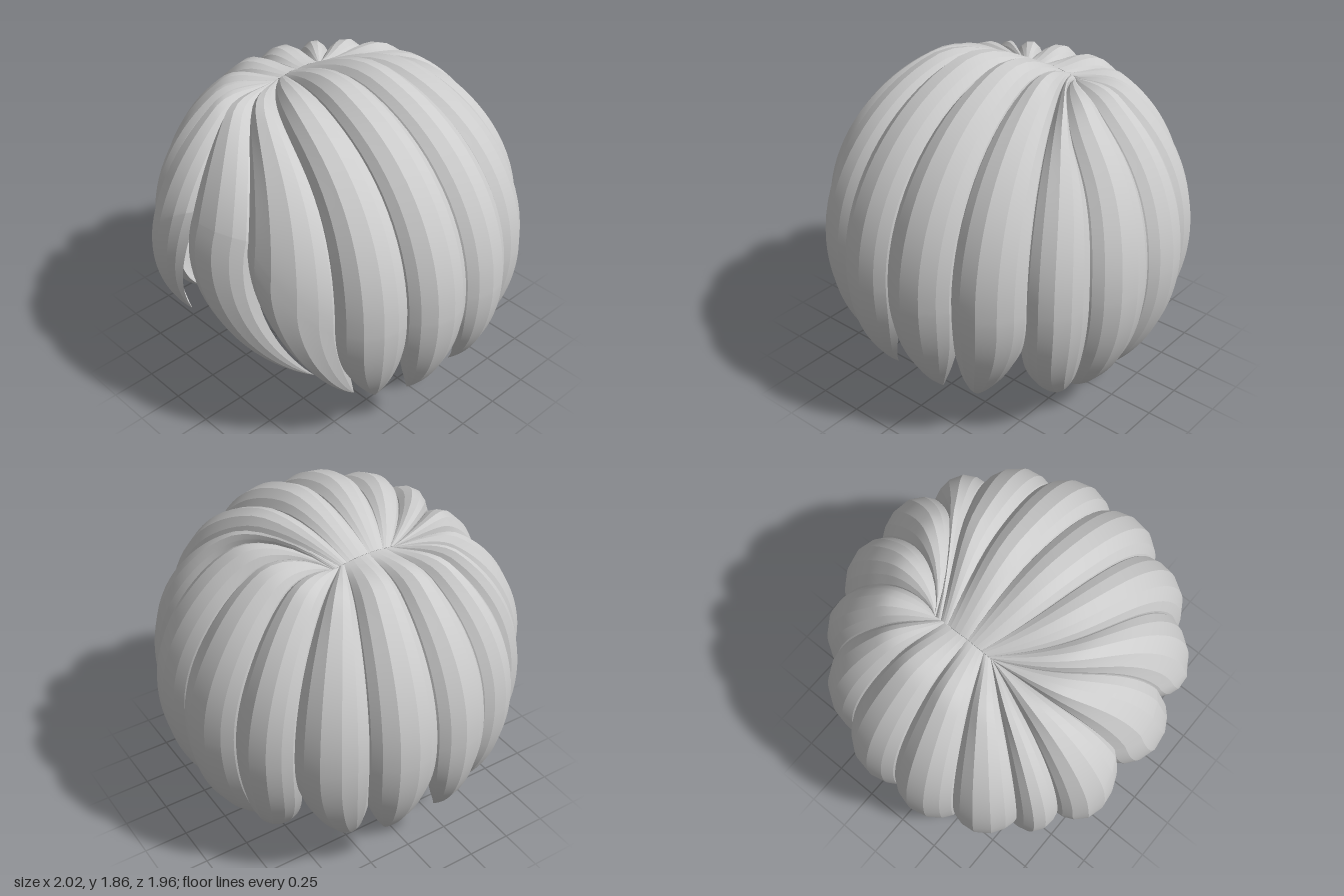
import * as THREE from 'three';

const CENTRE_Y = 0.87;
const ROOT_X = -0.35;
const ROWS = 44;
const RAD = Math.PI / 180;

// Seams between locks, round the head: [angle, root z, bend x, bend z, height where it is free to sweep]
const seams = [
  [-90, -0.24, 0.12, 0, 0], [-66, -0.24, 0.2, -0.03, 0], [-46, -0.2, 0.1, -0.05, 0], [-23, -0.15, 0, 0, 0],
  [0, 0, 0, 0, 0], [22.5, 0.1, 0, 0.05, 0], [45, 0.15, 0, 0.1, 0], [75, 0.17, -0.02, 0.06, 0.41],
  [102, 0.18, 0, 0.08, 0.38], [123, 0.18, 0, 0, 0], [137, 0.17, 0, 0, 0], [158, 0.12, 0, 0, 0],
  [180, 0, 0, 0, 0], [203, -0.17, 0, 0, 0], [226, -0.2, 0, 0, 0], [246, -0.24, 0.06, 0, 0],
  [270, -0.24, 0.12, 0, 0],
];

// Lock between seam i and i + 1: [name, tip x, y, z from the head centre, sweep power, lift]
const locks = [
  ['backLockLeft', 0.05, -0.85, -0.53, 7, 0],
  ['backOuterLockLeft', 0.13, -0.86, -0.48, 4, 0],
  ['napeLockLeft', 0.53, -0.78, -0.23, 2.2, 0],
  ['rearSideLockLeft', 0.73, -0.65, -0.16, 2.5, 0],
  ['sideLockLeft', 0.73, -0.65, 0.18, 2.5, 0],
  ['templeLockLeft', 0.7, -0.59, 0.4, 2.5, 0],
  ['frontSideLockLeft', 0.61, -0.59, 0.47, 1.5, 0],
  ['sweptFringe', 0.46, -0.47, 0.62, 2, 0],
  ['shortFringe', -0.35, -0.4, 0.8, 1.6, 0.035],
  ['frontSideLockRight', -0.61, -0.59, 0.47, 2.5, 0],
  ['templeLockRight', -0.7, -0.59, 0.4, 2.5, 0],
  ['sideLockRight', -0.73, -0.65, 0.18, 2.5, 0],
  ['rearSideLockRight', -0.73, -0.65, -0.16, 2.5, 0],
  ['napeLockRight', -0.53, -0.78, -0.23, 2.2, 0],
  ['backOuterLockRight', -0.13, -0.86, -0.48, 4, 0],
  ['backLockRight', -0.05, -0.85, -0.53, 7, 0],
];

// Faceted arch across a lock: position and height; the ends tuck under the neighbours
const outerArch = [[-0.08, -0.6], [0.02, 0.06], [0.17, 0.55], [0.38, 0.95], [0.64, 1], [0.85, 0.58], [0.98, 0.06], [1.08, -0.6]];
const innerArch = [[-0.08, -0.6], [0.05, -0.45], [0.25, -0.05], [0.5, 0.15], [0.75, -0.05], [0.95, -0.45], [1.08, -0.6]];

// Direction along a seam: s 0..0.5 from crown to seam end, 0.5..1 on to the lock's tip
function seamPoint([angle, rootZ, bendX, bendZ, freeY], tip, power, s) {
  const a = angle * RAD;
  if (s <= 0.5) {
    const t = Math.sin(s * Math.PI);
    const r = Math.sqrt(1 - freeY * freeY);
    const bend = 6.8 * t * (1 - t) ** 2;
    const x = THREE.MathUtils.lerp(ROOT_X, r * Math.cos(a), t) + bend * bendX;
    const z = THREE.MathUtils.lerp(rootZ, r * Math.sin(a), t) + bend * bendZ;
    return new THREE.Vector3(x, Math.sqrt(Math.max(0, 1 - x * x - z * z)), z).normalize();
  }
  const t = (s - 0.5) * 2;
  let tipAngle = Math.atan2(tip.z, tip.x);
  if (tipAngle < -Math.PI / 2) tipAngle += Math.PI * 2;
  const theta = THREE.MathUtils.lerp(a, tipAngle, t ** power);
  const y = THREE.MathUtils.lerp(freeY, tip.y / tip.length(), t);
  const r = Math.sqrt(1 - y * y);
  return new THREE.Vector3(r * Math.cos(theta), y, r * Math.sin(theta));
}

// Closed lock: creased outer strips and a smooth inner face
function lockGeometry(seamA, seamB, tip, power, lift) {
  const positions = [];
  const indices = [];
  const tipRadius = tip.length();

  const surfacePoint = (row, u, height) => {
    const s = THREE.MathUtils.clamp(row / ROWS, 0.0002, 0.999);
    const dir = seamPoint(seamA, tip, power, s).lerp(seamPoint(seamB, tip, power, s), u).normalize();
    const grow = THREE.MathUtils.smoothstep(s, -0.02, 0.14);
    const low = Math.max(0, s - 0.5) * 2;
    const raised = lift * THREE.MathUtils.smoothstep(s, 0.1, 0.5);
    const edge = THREE.MathUtils.lerp(0.88 + 0.07 * grow + raised, tipRadius, low ** 2);
    const bump = 0.07 * grow * (1 - low ** 2.5);
    return dir.multiplyScalar(edge + bump * height);
  };

  const addSheet = (columns, inward) => {
    const base = positions.length / 3;
    const n = columns.length;
    for (let row = 0; row <= ROWS; row++) {
      for (const [u, h] of columns) {
        const p = surfacePoint(row, u, h);
        positions.push(p.x, p.y + CENTRE_Y, p.z * 0.975);
      }
    }
    for (let row = 0; row < ROWS; row++) {
      for (let c = 0; c < n - 1; c++) {
        const a = base + row * n + c;
        const b = a + 1, d = a + n, e = d + 1;
        if (inward) indices.push(a, d, b, b, d, e);
        else indices.push(a, b, d, b, e, d);
      }
    }
  };

  for (let i = 0; i < outerArch.length - 1; i++) addSheet(outerArch.slice(i, i + 2), false);
  addSheet(innerArch, true);

  const geometry = new THREE.BufferGeometry();
  geometry.setAttribute('position', new THREE.Float32BufferAttribute(positions, 3));
  geometry.setIndex(indices);
  geometry.computeVertexNormals();
  return geometry;
}

export function createModel() {
  const group = new THREE.Group();
  group.name = 'hair';
  const hairGrey = new THREE.MeshStandardMaterial({ color: 0xcccccc });
  hairGrey.name = 'hairGrey';

  locks.forEach(([name, x, y, z, power, lift], i) => {
    const tip = new THREE.Vector3(x, y, z);
    const mesh = new THREE.Mesh(lockGeometry(seams[i], seams[i + 1], tip, power, lift), hairGrey);
    mesh.name = name;
    group.add(mesh);
  });
  return group;
}
